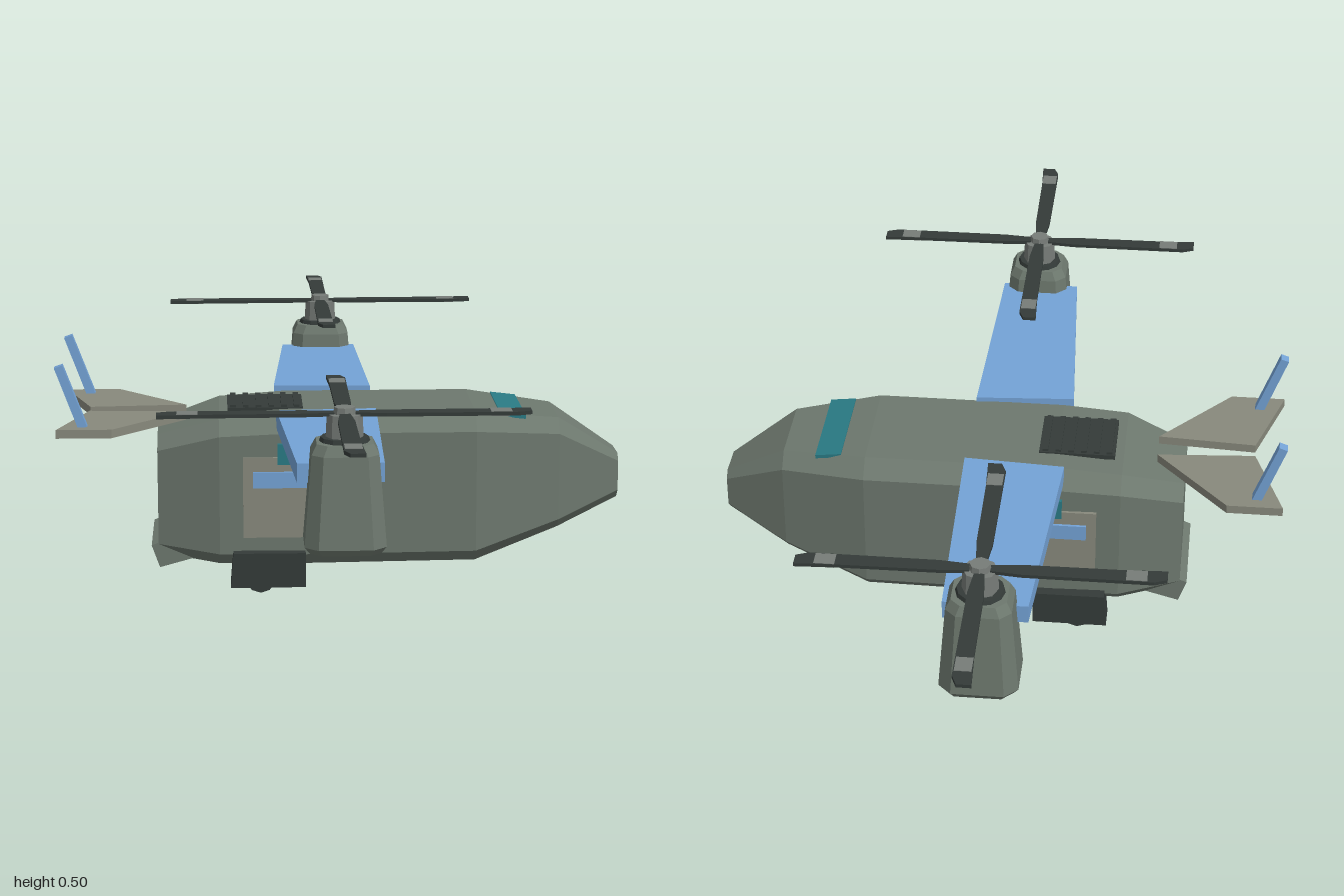
import * as THREE from 'three';

const mat = (color) => new THREE.MeshStandardMaterial({ color, flatShading: true });
const HULL = mat(0x6d786e), PANEL = mat(0x88897c), DARK = mat(0x343b39);
const BLUE = mat(0x74a3d6), GLASS = mat(0x2a7a84), GREY = mat(0x777c78);

function add(parent, name, geometry, material, x = 0, y = 0, z = 0) {
  const mesh = new THREE.Mesh(geometry, material);
  mesh.name = name;
  mesh.position.set(x, y, z);
  parent.add(mesh);
  return mesh;
}
const box = (w, h, d) => new THREE.BoxGeometry(w, h, d);

// Eight-sided section across x, with separate bottom and top chamfers
function section(x, y0, y1, w, cb, ct) {
  return [[y0 + cb, -w], [y1 - ct, -w], [y1, -w + ct], [y1, w - ct],
    [y1 - ct, w], [y0 + cb, w], [y0, w - cb], [y0, -w + cb]].map(([y, z]) => [x, y, z]);
}

// Flat-faced skin through a row of sections, closed at both ends
function loft(rings) {
  const pos = [], n = rings[0].length;
  const tri = (a, b, c) => pos.push(...a, ...b, ...c);
  for (let i = 0; i < rings.length - 1; i++) {
    const a = rings[i], b = rings[i + 1];
    for (let j = 0; j < n; j++) {
      const k = (j + 1) % n;
      tri(a[j], a[k], b[k]);
      tri(a[j], b[k], b[j]);
    }
  }
  const first = rings[0], last = rings[rings.length - 1];
  for (let j = 1; j < n - 1; j++) {
    tri(first[0], first[j + 1], first[j]);
    tri(last[0], last[j], last[j + 1]);
  }
  const g = new THREE.BufferGeometry();
  g.setAttribute('position', new THREE.Float32BufferAttribute(pos, 3));
  g.computeVertexNormals();
  return g;
}

// Upright plate from an x,y outline, centred on z = 0
function plate(points, depth) {
  const shape = new THREE.Shape(points.map(([x, y]) => new THREE.Vector2(x, y)));
  const g = new THREE.ExtrudeGeometry(shape, { depth, bevelEnabled: false });
  return g.translate(0, 0, -depth / 2);
}
// Level plate from an x,z outline, centred on y = 0
const slab = (points, depth) => plate(points, depth).rotateX(Math.PI / 2);

function createRotor() {
  const rotor = new THREE.Group();
  rotor.name = 'rotor';
  add(rotor, 'rotorCollar', new THREE.CylinderGeometry(0.046, 0.05, 0.012, 12), DARK, 0, 0.437);
  add(rotor, 'rotorHub', new THREE.CylinderGeometry(0.034, 0.036, 0.044, 8), GREY, 0, 0.465);
  add(rotor, 'rotorCap', new THREE.CylinderGeometry(0.02, 0.022, 0.018, 8), GREY, 0, 0.491);
  for (let i = 0; i < 4; i++) {
    const blade = new THREE.Group();
    blade.name = 'blade';
    blade.position.y = 0.487;
    blade.rotation.y = i * Math.PI / 2;
    const outline = [[0.02, -0.01], [0.08, -0.016], [0.27, -0.018], [0.355, -0.022],
      [0.355, 0.006], [0.33, 0.016], [0.08, 0.016], [0.02, 0.01]];
    add(blade, 'bladeBody', slab(outline, 0.007), DARK);
    add(blade, 'bladeBand', box(0.04, 0.009, 0.032), GREY, 0.297, 0, -0.002);
    rotor.add(blade);
  }
  return rotor;
}

function createSide(s) {
  const side = new THREE.Group();
  side.name = s > 0 ? 'frontSide' : 'backSide';
  const flip = (points) => points.map(([x, z]) => [x, z * s]);

  // Wing and nacelle
  add(side, 'wing', slab(flip([[-0.14, 0.132], [0.07, 0.118], [0.058, 0.62], [-0.11, 0.62]]), 0.038),
    BLUE, 0, 0.366);
  const engine = new THREE.Group();
  engine.name = 'engine';
  engine.position.set(-0.02, 0, 0.645 * s);
  const nacelle = loft([
    section(0.225, -0.068, 0.068, 0.064, 0.022, 0.022),
    section(0.238, -0.078, 0.078, 0.073, 0.026, 0.026),
    section(0.415, -0.064, 0.064, 0.06, 0.022, 0.022),
    section(0.435, -0.054, 0.054, 0.052, 0.02, 0.02)]);
  add(engine, 'nacelle', nacelle.rotateZ(Math.PI / 2), HULL);
  engine.add(createRotor());
  side.add(engine);

  // Side door with rail and window
  add(side, 'doorPanel', box(0.265, 0.172, 0.014), PANEL, -0.078, 0.204, 0.155 * s);
  add(side, 'doorRail', box(0.22, 0.034, 0.012), BLUE, -0.08, 0.243, 0.162 * s);
  add(side, 'sideWindow', box(0.08, 0.044, 0.014), GLASS, -0.098, 0.297, 0.158 * s);

  // Wheel pod
  add(side, 'wheelPod', plate([[-0.232, 0.088], [-0.238, 0.014], [-0.08, 0.014], [-0.08, 0.088]], 0.055),
    DARK, 0, 0, 0.152 * s);
  const wheel = add(side, 'wheel', new THREE.CylinderGeometry(0.032, 0.032, 0.035, 10), DARK, -0.175, 0.032, 0.152 * s);
  wheel.rotation.x = Math.PI / 2;

  // Tailplane and raked fin
  add(side, 'tailplane', slab(flip([[-0.33, 0.035], [-0.48, 0.21], [-0.595, 0.21], [-0.535, 0.02]]), 0.018),
    PANEL, 0, 0.355);
  add(side, 'fin', plate([[-0.55, 0.36], [-0.53, 0.36], [-0.58, 0.494], [-0.597, 0.488]], 0.022),
    BLUE, 0, 0, 0.173 * s);
  return side;
}

export function createModel() {
  const model = new THREE.Group();
  model.name = 'tiltrotorAircraft';

  // Hull, tail to nose
  add(model, 'fuselage', loft([
    section(-0.39, 0.068, 0.325, 0.11, 0.025, 0.03),
    section(-0.26, 0.054, 0.365, 0.153, 0.026, 0.032),
    section(-0.12, 0.053, 0.375, 0.157, 0.026, 0.035),
    section(0.28, 0.057, 0.375, 0.157, 0.026, 0.035),
    section(0.46, 0.118, 0.354, 0.112, 0.02, 0.03),
    section(0.595, 0.168, 0.265, 0.05, 0.018, 0.015)]), HULL);

  // Windscreen strip
  const screen = add(model, 'windscreen', box(0.055, 0.008, 0.22), GLASS, 0.36, 0.364);
  screen.rotation.z = -0.116;

  // Roof vent
  add(model, 'roofVent', box(0.16, 0.01, 0.14), DARK, -0.162, 0.373);
  for (let i = 0; i < 6; i++) {
    add(model, 'ventSlat', box(0.012, 0.01, 0.132), DARK, -0.23 + i * 0.027, 0.378);
  }

  // Rear ramp lip
  add(model, 'rearRamp', plate([[-0.405, 0.09], [-0.388, 0.042], [-0.3, 0.066], [-0.34, 0.09], [-0.37, 0.104]], 0.22), HULL);

  for (const s of [1, -1]) model.add(createSide(s));
  return model;
}
